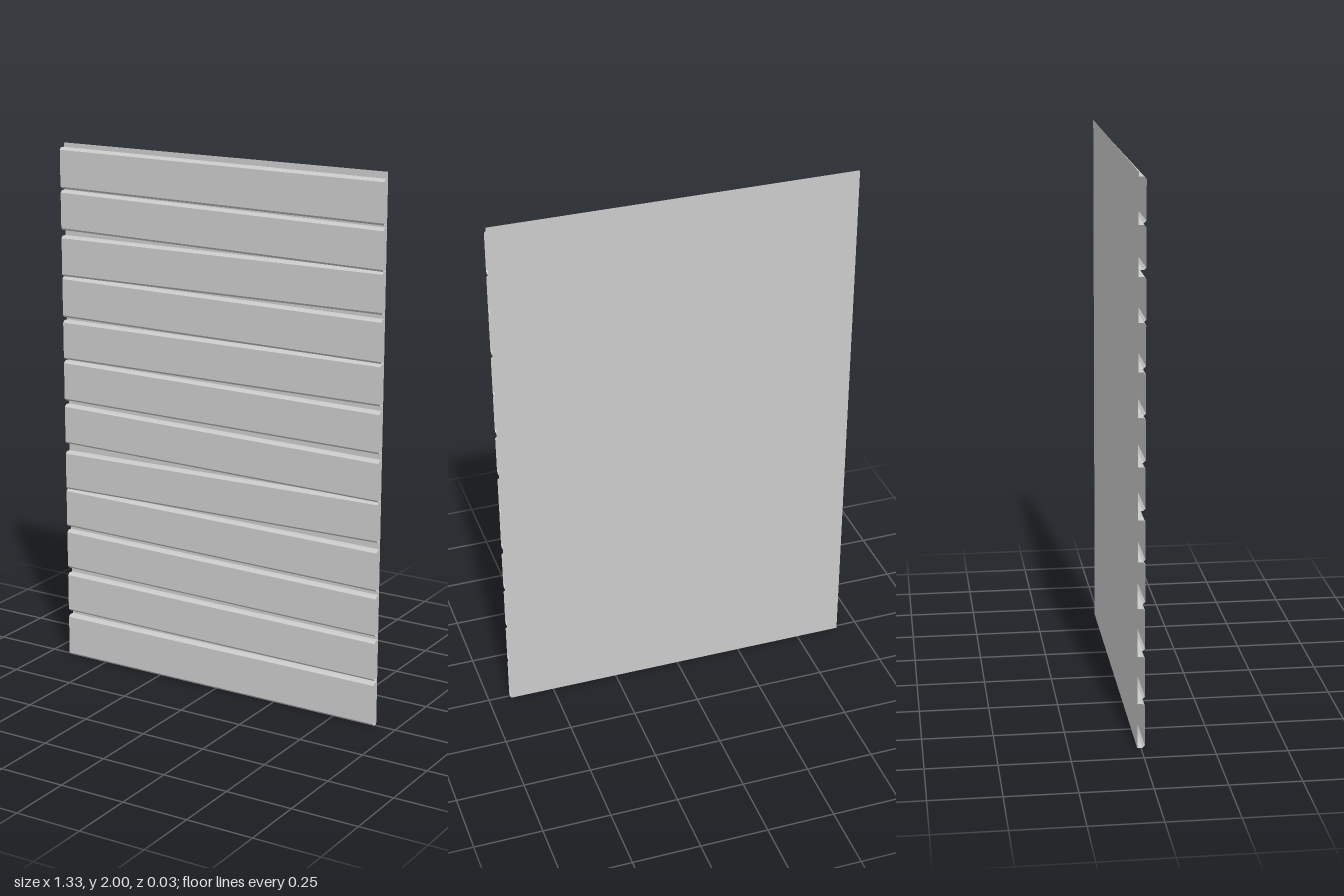
import * as THREE from 'three';

const HALF_W = 0.667, BACK = -0.013, FRONT = 0.013, BEVEL = 0.008;

// Seams from top to bottom: [left upper, left lower, right upper, right lower]
// upper = bottom edge of the board above, lower = top edge of the board below
const SEAMS = [
  [2.0, 1.984, 2.0, 1.976],
  [1.832, 1.826, 1.82, 1.81],
  [1.678, 1.656, 1.661, 1.661],
  [1.504, 1.502, 1.512, 1.494],
  [1.348, 1.336, 1.34, 1.338],
  [1.186, 1.18, 1.189, 1.168],
  [1.026, 1.01, 1.017, 0.992],
  [0.857, 0.825, 0.842, 0.842],
  [0.676, 0.676, 0.693, 0.664],
  [0.526, 0.51, 0.511, 0.493],
  [0.357, 0.336, 0.341, 0.324],
  [0.181, 0.164, 0.172, 0.164],
  [0.0, 0, 0.0, 0],
];

const material = new THREE.MeshStandardMaterial({
  color: 0xcccccc, flatShading: true, side: THREE.DoubleSide,
});

// Bevelled board section as [y, z], from its top back edge to its bottom back edge
function section(top, bottom) {
  return [
    [top, BACK], [top, FRONT - BEVEL], [top - BEVEL, FRONT],
    [bottom + BEVEL, FRONT], [bottom, FRONT - BEVEL], [bottom, BACK],
  ];
}

// Open-ended board, lofted between the sections at its two ends
function boardGeometry(a, b) {
  const positions = [];
  for (let i = 0; i < a.length - 1; i++) {
    const p = [-HALF_W, ...a[i]], q = [-HALF_W, ...a[i + 1]];
    const r = [HALF_W, ...b[i + 1]], s = [HALF_W, ...b[i]];
    positions.push(...p, ...q, ...r, ...p, ...r, ...s);
  }
  const geometry = new THREE.BufferGeometry();
  geometry.setAttribute('position', new THREE.Float32BufferAttribute(positions, 3));
  geometry.computeVertexNormals();
  return geometry;
}

export function createModel() {
  const group = new THREE.Group();
  group.name = 'plankPanel';

  // Thin sheet behind the boards
  const sheet = new THREE.Mesh(new THREE.PlaneGeometry(HALF_W * 2, 2), material);
  sheet.name = 'backSheet';
  sheet.rotation.y = Math.PI;
  sheet.position.set(0, 1, BACK);
  group.add(sheet);

  // Uneven horizontal boards
  for (let i = 0; i < SEAMS.length - 1; i++) {
    const above = SEAMS[i], below = SEAMS[i + 1];
    const board = new THREE.Mesh(
      boardGeometry(section(above[1], below[0]), section(above[3], below[2])), material);
    board.name = `board${i + 1}`;
    group.add(board);
  }
  return group;
}
